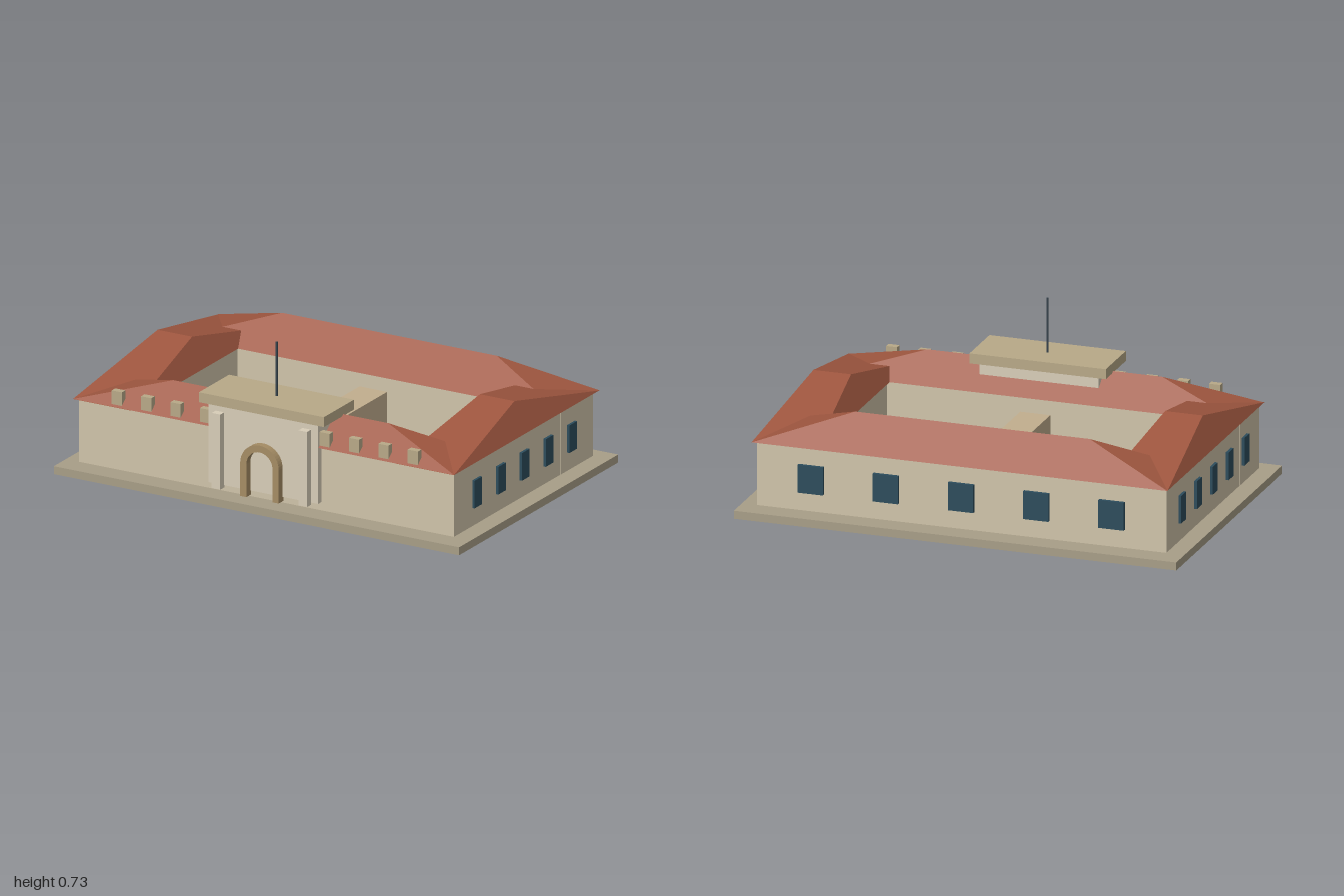
import * as THREE from 'three';

const mat = (color) => new THREE.MeshStandardMaterial({ color, flatShading: true });
const M = {
  base: mat(0xa89e87), wall: mat(0xd0c4aa), gate: mat(0xd8cdb8), trim: mat(0xb8a988),
  roof: mat(0x9e563f), glass: mat(0x2c4c5c), arch: mat(0xa58c64), path: mat(0xc2ae8e),
  grass: mat(0x558c40), tree: mat(0x2a6a45), trunk: mat(0x6b4a30), pole: mat(0x36434d),
};

export function createModel() {
  const model = new THREE.Group();

  const add = (name, geometry, material, x = 0, y = 0, z = 0) => {
    const mesh = new THREE.Mesh(geometry, material);
    mesh.name = name;
    mesh.position.set(x, y, z);
    model.add(mesh);
    return mesh;
  };
  // Box given by its extents along each axis
  const box = (name, material, [x0, x1], [y0, y1], [z0, z1]) =>
    add(name, new THREE.BoxGeometry(x1 - x0, y1 - y0, z1 - z0), material,
      (x0 + x1) / 2, (y0 + y1) / 2, (z0 + z1) / 2);

  // Hip roof: half width w, half depth d, height h, ridge along x of half length r
  const hipRoof = (name, x, z, w, d, h, r) => {
    const g = new THREE.BufferGeometry();
    g.setAttribute('position', new THREE.Float32BufferAttribute([
      -w, 0, -d, w, 0, -d, w, 0, d, -w, 0, d, -r, h, 0, r, h, 0], 3));
    g.setIndex([3, 2, 5, 3, 5, 4, 1, 0, 4, 1, 4, 5, 2, 1, 5, 0, 3, 4, 0, 1, 2, 0, 2, 3]);
    const flat = g.toNonIndexed();
    flat.computeVertexNormals();
    add(name, flat, M.roof, x, 0.333, z);
  };

  // Ground slab and the raised walk across the courtyard
  box('plinth', M.base, [-1, 1], [0, 0.036], [-0.67, 0.67]);
  box('courtyardWalk', M.path, [-0.068, 0.068], [0.03, 0.26], [-0.45, 0.45]);

  // Four wings around the courtyard
  const wallY = [0.043, 0.335];
  box('frontWing', M.wall, [-0.925, 0.925], wallY, [0.345, 0.585]);
  box('backWing', M.wall, [-0.925, 0.925], wallY, [-0.585, -0.315]);
  hipRoof('frontRoof', 0, 0.465, 0.94, 0.145, 0.115, 0.53);
  hipRoof('backRoof', 0, -0.45, 0.94, 0.165, 0.133, 0.53);

  for (const s of [-1, 1]) {
    box('sideWing', M.wall, s < 0 ? [-0.924, -0.67] : [0.67, 0.924], wallY, [-0.584, 0.584]);
    hipRoof('sideRoof', s * 0.795, 0, 0.145, 0.612, 0.133, 0.085);

    // Side windows
    for (let i = -2; i <= 2; i++)
      add('sideWindow', new THREE.BoxGeometry(0.025, 0.125, 0.063), M.glass, s * 0.924, 0.188, i * 0.2);

    // Parapet blocks along the front eave
    for (let i = 0; i < 4; i++)
      add('parapetBlock', new THREE.BoxGeometry(0.05, 0.065, 0.03), M.trim,
        s * (0.295 + i * 0.145), 0.37, 0.585);

    // Gate pillars
    add('gatePillar', new THREE.BoxGeometry(0.042, 0.34, 0.035), M.gate, s * 0.214, 0.24, 0.628);

    // Lawns with a round tree each
    add('lawn', new THREE.BoxGeometry(0.27, 0.012, 0.485), M.grass, s * 0.36, 0.04, 0);
    add('treeTrunk', new THREE.CylinderGeometry(0.012, 0.015, 0.08, 6), M.trunk, s * 0.36, 0.075, 0);
    add('treeCrown', new THREE.SphereGeometry(0.07, 8, 6), M.tree, s * 0.36, 0.125, 0);
  }

  // Back windows
  for (let i = -2; i <= 2; i++)
    add('backWindow', new THREE.BoxGeometry(0.115, 0.125, 0.025), M.glass, i * 0.34, 0.188, -0.588);

  // Gatehouse with its flat cornice
  box('gatehouse', M.gate, [-0.27, 0.27], [0.08, 0.445], [0.392, 0.612]);
  box('gateCornice', M.trim, [-0.308, 0.308], [0.44, 0.485], [0.375, 0.628]);

  // Arch surround: half ring on two straight legs
  const ro = 0.095, ri = 0.064, cy = 0.21, bottom = 0.06;
  const arch = new THREE.Shape();
  arch.moveTo(ro, bottom);
  arch.lineTo(ro, cy);
  arch.absarc(0, cy, ro, 0, Math.PI, false);
  arch.lineTo(-ro, bottom);
  arch.lineTo(-ri, bottom);
  arch.lineTo(-ri, cy);
  arch.absarc(0, cy, ri, Math.PI, 0, true);
  arch.lineTo(ri, bottom);
  arch.closePath();
  add('gateArch', new THREE.ExtrudeGeometry(arch,
    { depth: 0.04, bevelEnabled: false, curveSegments: 12 }), M.arch, 0, 0, 0.605);

  // Flagpole
  add('flagpole', new THREE.CylinderGeometry(0.005, 0.005, 0.25, 8), M.pole, 0, 0.605, 0.5);

  return model;
}
